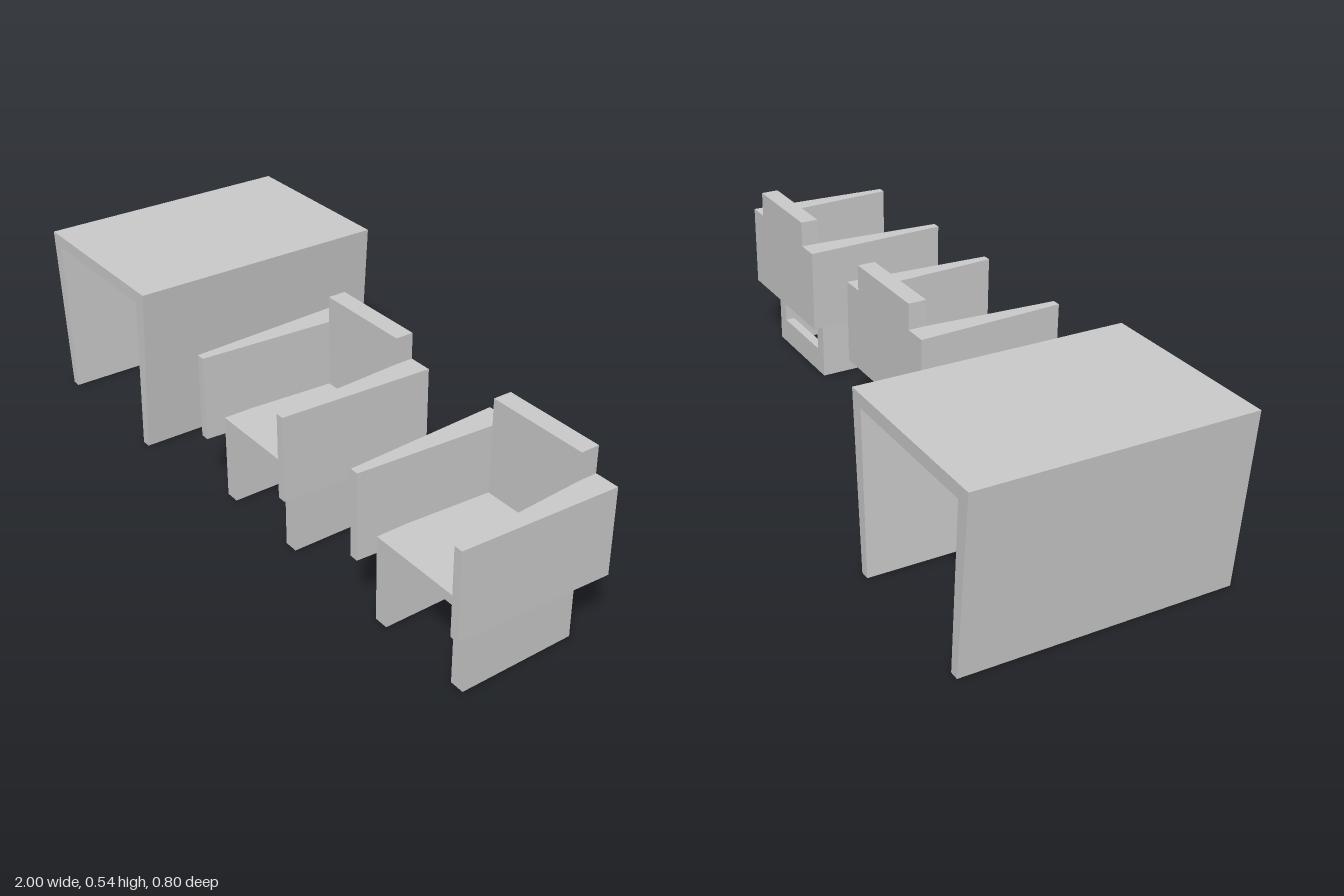
import * as THREE from 'three';

const material = new THREE.MeshStandardMaterial({ color: 0xcccccc, flatShading: true });

function addMesh(parent, name, geometry) {
  const mesh = new THREE.Mesh(geometry, material);
  mesh.name = name;
  parent.add(mesh);
  return mesh;
}

// Straight extrusion along z of an outline given as [x, y] pairs
function extrude(points, depth) {
  const shape = new THREE.Shape(points.map(([x, y]) => new THREE.Vector2(x, y)));
  return new THREE.ExtrudeGeometry(shape, { depth, bevelEnabled: false });
}

function box(w, h, d, x, y, z) {
  return new THREE.BoxGeometry(w, h, d).translate(x, y, z);
}

// Slab table: a top and two inward leaning side panels, slightly skewed in plan
function createTable() {
  const table = new THREE.Group();
  table.name = 'table';
  const outline = [
    [-0.965, 0], [-0.938, 0], [-0.957, 0.485], [-0.482, 0.485],
    [-0.503, 0], [-0.475, 0], [-0.437, 0.524], [-1, 0.524],
  ];
  const geometry = extrude(outline, 0.8).translate(0, 0, -0.4);
  const skew = new THREE.Matrix4().makeShear(0, 0, 0, 0, -0.009, 0);
  skew.elements[12] = 0.0036;
  geometry.applyMatrix4(skew);
  addMesh(table, 'tableTopAndSides', geometry);
  return table;
}

function createChair(x) {
  const chair = new THREE.Group();
  chair.name = 'chair';

  // Seat and side panels as one arch
  const arch = [
    [-0.171, 0.003], [-0.128, 0.003], [-0.128, 0.232], [0.128, 0.232],
    [0.128, 0.003], [0.171, 0.003], [0.171, 0.26], [-0.171, 0.26],
  ];
  addMesh(chair, 'seatAndLegs', extrude(arch, 0.35).translate(0, 0, -0.005));

  // Low rail joining the legs at the back
  addMesh(chair, 'rearRail', box(0.256, 0.081, 0.03, 0, 0.0435, 0.01));

  // Tapered arms wrapping round the back, drawn in plan as [x, z]
  const plan = [
    [-0.228, -0.06], [0.228, -0.06], [0.206, 0.4], [0.18, 0.4],
    [0.155, -0.005], [-0.155, -0.005], [-0.18, 0.4], [-0.206, 0.4],
  ];
  const arms = extrude(plan, 0.257).rotateX(Math.PI / 2).translate(0, 0.462, 0);
  addMesh(chair, 'armsAndLowerBack', arms);

  // Raised middle of the backrest
  addMesh(chair, 'upperBack', box(0.31, 0.079, 0.055, 0, 0.5015, -0.0325));

  chair.position.x = x;
  return chair;
}

export function createModel() {
  const model = new THREE.Group();
  model.name = 'tableAndChairs';
  model.add(createTable(), createChair(0.066), createChair(0.77));
  return model;
}
